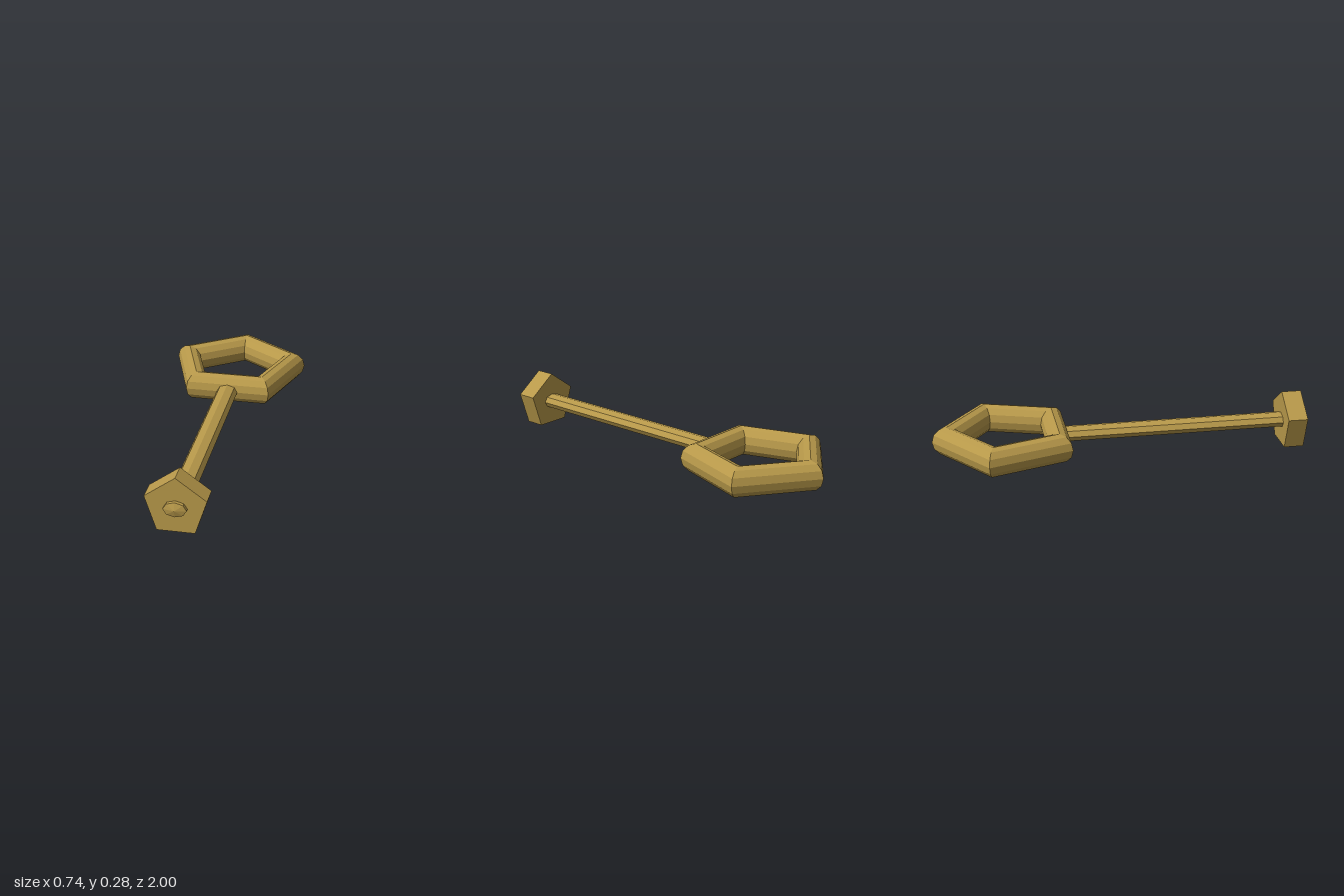
import * as THREE from 'three';

export function createModel() {
  const model = new THREE.Group();
  model.name = 'key';
  const brass = new THREE.MeshStandardMaterial({ color: 0xb8994a, flatShading: true });
  brass.name = 'brass';

  const AXIS_Y = 0.128; // height of the shaft axis
  const add = (name, geometry, z) => {
    const mesh = new THREE.Mesh(geometry, brass);
    mesh.name = name;
    mesh.position.set(0, AXIS_Y, z);
    model.add(mesh);
  };

  // Five-sided ring handle lying flat, one corner pointing back
  const ring = new THREE.TorusGeometry(0.312, 0.078, 12, 5);
  ring.rotateZ(Math.PI / 2).rotateX(-Math.PI / 2);
  add('handleRing', ring, -0.61);

  // Eight-sided shaft, flattened in height, with a shallow pointed tip
  const profile = [[0, -0.36], [1, -0.36], [1, 0.988], [0, 1]];
  const shaft = new THREE.LatheGeometry(profile.map(([r, y]) => new THREE.Vector2(r, y)), 8);
  shaft.rotateX(Math.PI / 2).scale(0.057, 0.0385, 1);
  add('shaft', shaft, 0);

  // Five-sided block near the front end, flat side down
  const block = new THREE.CylinderGeometry(0.157, 0.157, 0.105, 5);
  block.rotateY(Math.PI).rotateX(Math.PI / 2);
  add('endBlock', block, 0.917);

  return model;
}
